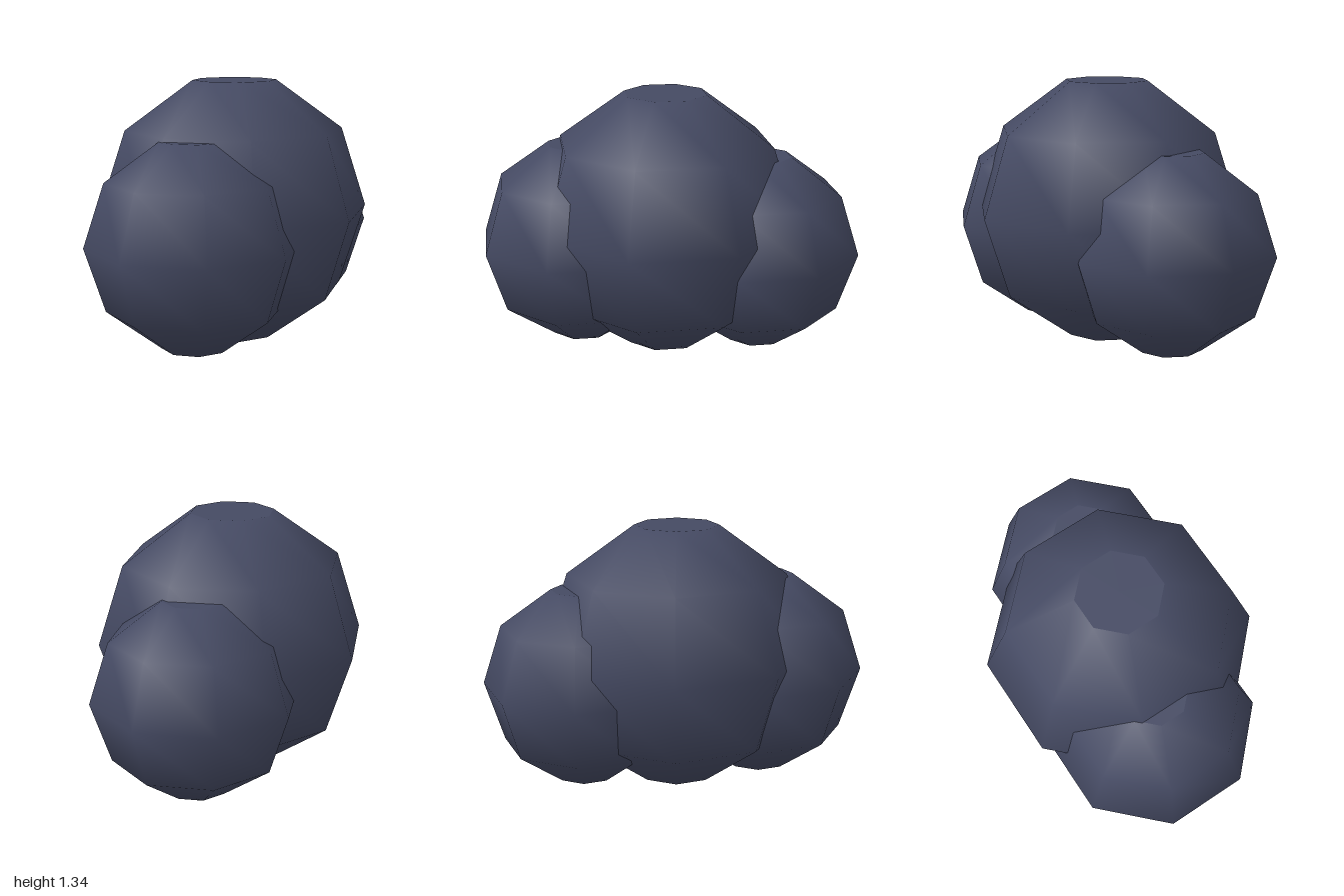
import * as THREE from 'three';

const SIDES = 8;
const CAP = THREE.MathUtils.degToRad(18); // polar angle where the flat caps cut the ball

export function createModel() {
  const model = new THREE.Group();
  model.name = 'cloud';
  const slate = new THREE.MeshStandardMaterial({ color: 0x454a63 });
  slate.name = 'stormSlate';

  // One puff: a smooth low-poly ball with flat octagonal top and bottom
  function addPuff(name, radius, x, y, z) {
    const puff = new THREE.Group();
    puff.name = name;
    puff.position.set(x, y, z);

    const body = new THREE.Mesh(
      new THREE.SphereGeometry(radius, SIDES, 4, 0, Math.PI * 2, CAP, Math.PI - 2 * CAP), slate);
    body.name = name + 'Body';
    puff.add(body);

    for (const side of [1, -1]) {
      const cap = new THREE.Mesh(new THREE.CircleGeometry(radius * Math.sin(CAP), SIDES), slate);
      cap.name = name + (side > 0 ? 'TopCap' : 'BottomCap');
      cap.rotation.x = -side * Math.PI / 2;
      cap.position.y = side * radius * Math.cos(CAP);
      puff.add(cap);
    }
    model.add(puff);
  }

  addPuff('centerPuff', 0.705, -0.015, 0.67, 0);
  addPuff('rightPuff', 0.547, -0.453, 0.55, 0.085);
  addPuff('leftPuff', 0.528, 0.468, 0.517, -0.09);

  return model;
}
